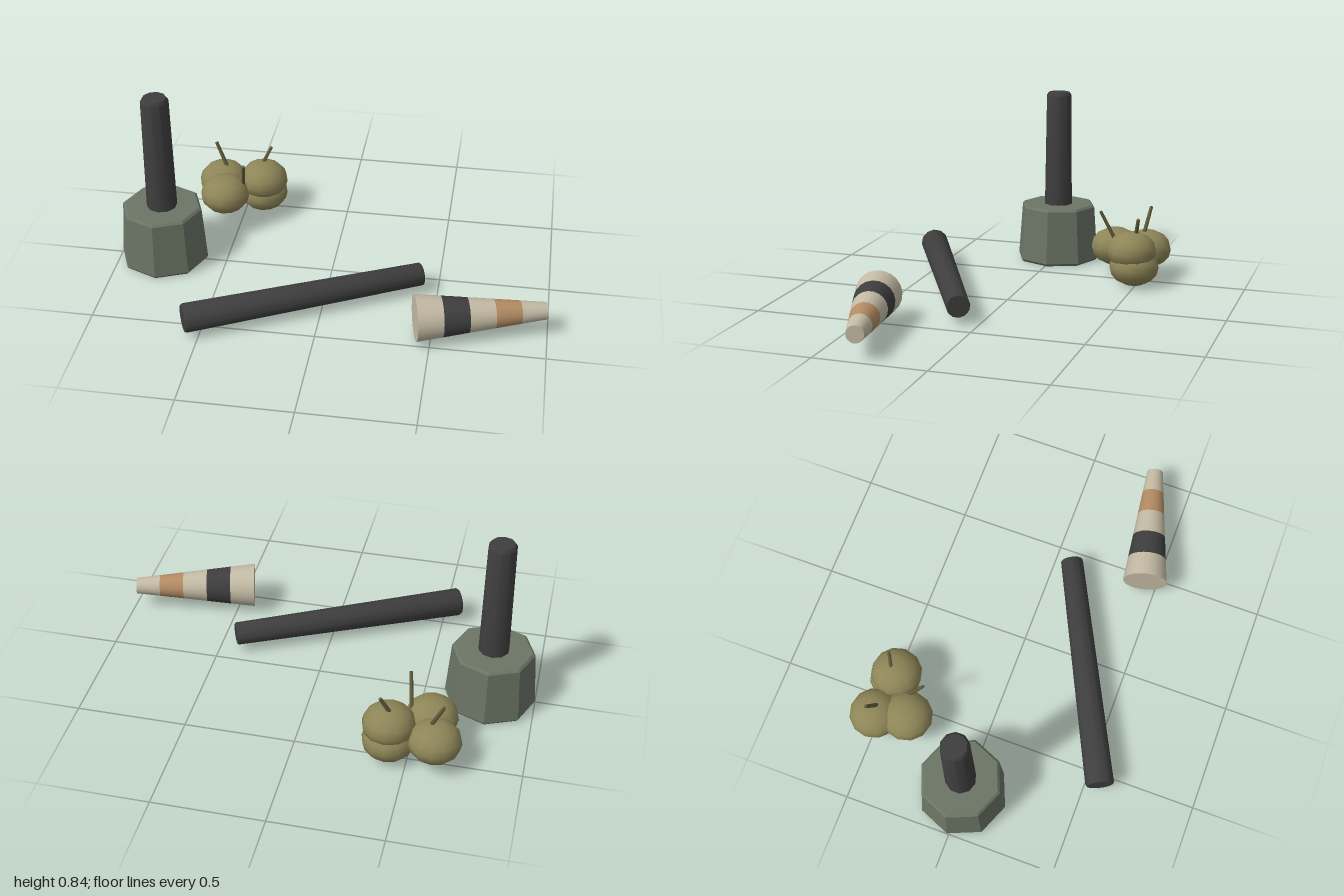
import * as THREE from 'three';
import { toCreasedNormals } from 'three/addons/utils/BufferGeometryUtils.js';

function material(name, color) {
  const m = new THREE.MeshStandardMaterial({ color });
  m.name = name;
  return m;
}

export function createModel() {
  const stone = material('greenStone', 0x6b7565);
  const dark = material('charcoal', 0x3e3e3e);
  const cream = material('cream', 0xc4bba5);
  const tan = material('tan', 0xb38c63);
  const olive = material('olive', 0x8e8658);
  const stemMat = material('stemOlive', 0x625e3c);

  const model = new THREE.Group();
  const v = (x, y, z) => new THREE.Vector3(x, y, z);

  function add(parent, name, geometry, mat) {
    const mesh = new THREE.Mesh(geometry, mat);
    mesh.name = name;
    parent.add(mesh);
    return mesh;
  }

  // Turned solid with crisp edges where the profile bends sharply
  function turned(profile, sides, crease) {
    const points = profile.map(([r, y]) => new THREE.Vector2(r, y));
    return toCreasedNormals(new THREE.LatheGeometry(points, sides), crease);
  }

  // Points an object's y axis from a to b, with its origin at a
  function aim(object, a, b) {
    object.position.copy(a);
    object.quaternion.setFromUnitVectors(v(0, 1, 0), b.clone().sub(a).normalize());
    return object;
  }

  // Eight-sided block with an upright post
  const stand = new THREE.Group();
  stand.name = 'stand';
  stand.position.set(-0.795, 0, -0.009);
  model.add(stand);
  add(stand, 'block', turned(
    [[0, 0], [0.196, 0], [0.205, 0.012], [0.186, 0.27], [0.175, 0.28], [0, 0.28]], 8, 0.5), stone);
  add(stand, 'post', turned(
    [[0, 0.27], [0.07, 0.27], [0.063, 0.825], [0.053, 0.84], [0, 0.84]], 10, 0.7), dark);

  // Loose tapered rod lying on its side
  const rodStart = v(-0.567, 0.086, 0.57), rodEnd = v(0.422, 0.085, 0.083);
  const rodLength = rodStart.distanceTo(rodEnd);
  aim(add(model, 'rod', turned(
    [[0, 0], [0.06, 0], [0.066, 0.008], [0.053, rodLength - 0.006], [0.049, rodLength], [0, rodLength]],
    12, 0.7), dark), rodStart, rodEnd);

  // Tapered cone made of five equal bands
  const cone = new THREE.Group();
  cone.name = 'bandedCone';
  const coneStart = v(0.43, 0.112, 0.447), coneEnd = v(0.989, 0.114, 0.311);
  aim(cone, coneStart, coneEnd);
  model.add(cone);
  const bands = [cream, dark, cream, tan, cream];
  const bandLength = coneStart.distanceTo(coneEnd) / bands.length;
  const radiusAt = (i) => 0.104 - 0.0132 * i;
  bands.forEach((mat, i) => {
    const geometry = new THREE.CylinderGeometry(radiusAt(i + 1), radiusAt(i), bandLength, 20);
    add(cone, 'band' + (i + 1), geometry, mat).position.y = (i + 0.5) * bandLength;
  });

  // Cluster of squashed fruits
  const fruits = new THREE.Group();
  fruits.name = 'fruitCluster';
  model.add(fruits);
  const fruitGeometry = new THREE.SphereGeometry(0.118, 12, 8);
  [[-0.617, 0.13, -0.505], [-0.412, 0.167, -0.478], [-0.58, 0.14, -0.36], [-0.415, 0.092, -0.49]]
    .forEach((p, i) => {
      const fruit = add(fruits, 'fruit' + (i + 1), fruitGeometry, olive);
      fruit.position.set(...p);
      fruit.scale.y = 0.77;
    });

  // Slanted stems
  [
    [v(-0.588, 0.19, -0.492), v(-0.65, 0.33, -0.517)],
    [v(-0.425, 0.23, -0.493), v(-0.377, 0.327, -0.515)],
    [v(-0.5, 0.14, -0.405), v(-0.474, 0.33, -0.31)],
  ].forEach(([a, b], i) => {
    const length = a.distanceTo(b);
    const geometry = new THREE.CylinderGeometry(0.008, 0.01, length, 6).translate(0, length / 2, 0);
    aim(add(fruits, 'stem' + (i + 1), geometry, stemMat), a, b);
  });

  return model;
}
